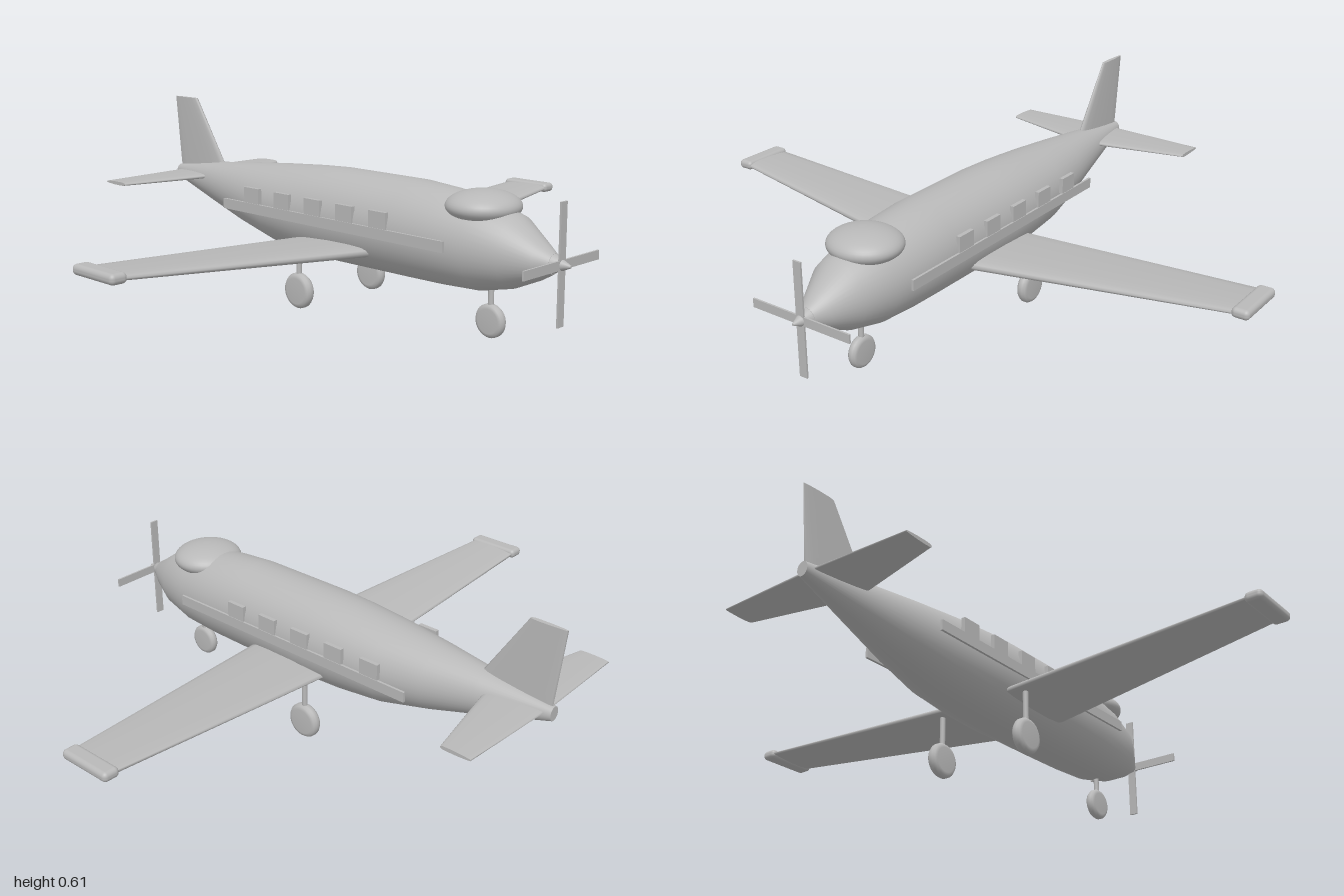
import * as THREE from 'three';
import { RoundedBoxGeometry } from 'three/addons/geometries/RoundedBoxGeometry.js';

const grey = new THREE.MeshStandardMaterial({ color: 0xb8b8b8 });
grey.name = 'paleGrey';

// Closed skin through rings of equal point count, with flat end caps.
function loft(rings) {
  const n = rings[0].length, pos = [], idx = [];
  rings.forEach(r => r.forEach(p => pos.push(...p)));
  for (let i = 0; i < rings.length - 1; i++) {
    for (let j = 0; j < n; j++) {
      const a = i * n + j, b = i * n + (j + 1) % n;
      idx.push(a, b, a + n, b, b + n, a + n);
    }
  }
  [rings[0], rings[rings.length - 1]].forEach((ring, end) => {
    const base = pos.length / 3;
    ring.forEach(p => pos.push(...p));
    pos.push(...[0, 1, 2].map(k => ring.reduce((s, p) => s + p[k], 0) / n));
    for (let j = 0; j < n; j++) {
      const a = base + j, b = base + (j + 1) % n;
      if (end) idx.push(base + n, a, b); else idx.push(base + n, b, a);
    }
  });
  // Turn the faces outward when the signed volume is negative.
  const v = i => new THREE.Vector3().fromArray(pos, idx[i] * 3);
  let volume = 0;
  for (let i = 0; i < idx.length; i += 3) volume += v(i).dot(v(i + 1).cross(v(i + 2)));
  if (volume < 0) idx.reverse();
  const g = new THREE.BufferGeometry();
  g.setAttribute('position', new THREE.Float32BufferAttribute(pos, 3));
  g.setIndex(idx);
  g.computeVertexNormals();
  return g;
}

// Aerofoil outline as [chord 0..1 from the nose, half thickness -1..1]
const foil = [[0, 0], [0.02, 0.5], [0.08, 0.85], [0.25, 1], [0.55, 0.95], [0.85, 0.65], [0.98, 0.4], [1, 0],
  [0.98, -0.4], [0.85, -0.65], [0.55, -0.95], [0.25, -1], [0.08, -0.85], [0.02, -0.5]];

// Wing from stations [x, y, front z, rear z, thickness]
const wingGeometry = (stations, side) => loft(stations.map(([x, y, f, r, t]) =>
  foil.map(([c, h]) => [x * side, y + h * t / 2, f + (r - f) * c])));

export function createModel() {
  const model = new THREE.Group();
  const add = (name, geometry, x = 0, y = 0, z = 0) => {
    const mesh = new THREE.Mesh(geometry, grey);
    mesh.name = name;
    mesh.position.set(x, y, z);
    model.add(mesh);
    return mesh;
  };

  // Fuselage stations: z, bottom, top, half width
  const body = [
    [0.82, 0.232, 0.292, 0.03], [0.78, 0.208, 0.32, 0.056], [0.69, 0.168, 0.384, 0.104],
    [0.58, 0.143, 0.416, 0.13], [0.45, 0.138, 0.434, 0.143], [0.32, 0.137, 0.444, 0.148],
    [0, 0.136, 0.444, 0.149], [-0.12, 0.142, 0.438, 0.147], [-0.28, 0.158, 0.426, 0.135],
    [-0.45, 0.198, 0.411, 0.105], [-0.62, 0.245, 0.394, 0.068], [-0.855, 0.315, 0.362, 0.02]];
  add('fuselage', loft(body.map(([z, lo, hi, w]) => Array.from({ length: 40 }, (_, i) => {
    const a = i / 40 * Math.PI * 2;
    return [Math.cos(a) * w, (lo + hi) / 2 + Math.sin(a) * (hi - lo) / 2, z];
  }))));

  // Cockpit canopy
  add('canopy', new THREE.SphereGeometry(1, 40, 24).scale(0.118, 0.05, 0.113), 0, 0.395, 0.565);

  // Spinner and four propeller blades
  add('spinner', new THREE.CylinderGeometry(0.004, 0.037, 0.075, 28).rotateX(Math.PI / 2), 0, 0.263, 0.838);
  add('propellerVertical', new THREE.BoxGeometry(0.028, 0.362, 0.006), 0, 0.264, 0.845);
  add('propellerHorizontal', new THREE.BoxGeometry(0.362, 0.028, 0.006), 0, 0.264, 0.845);

  // Wheel with rounded shoulders, axle along x
  const wheel = (r, w) => new THREE.LatheGeometry([
    [0, -w], [r * 0.72, -w], [r * 0.9, -w * 0.8], [r, -w * 0.35],
    [r, w * 0.35], [r * 0.9, w * 0.8], [r * 0.72, w], [0, w],
  ].map(p => new THREE.Vector2(...p)), 32).rotateZ(Math.PI / 2);
  const strut = h => new THREE.CylinderGeometry(0.009, 0.009, h, 14);

  for (const side of [1, -1]) {
    const s = side > 0 ? 'left' : 'right';
    // Main wing with rounded tip
    add(s + 'Wing', wingGeometry([[0.08, 0.212, 0.232, -0.088, 0.037], [0.15, 0.217, 0.222, -0.086, 0.036],
      [0.96, 0.268, 0.108, -0.07, 0.022]], side));
    add(s + 'WingTip', new RoundedBoxGeometry(0.056, 0.032, 0.19, 4, 0.014), side * 0.97, 0.268, 0.019);
    // Tailplane
    add(s + 'Tailplane', wingGeometry([[0, 0.343, -0.632, -0.835, 0.018], [0.355, 0.343, -0.718, -0.822, 0.012]], side));
    // Side stripe and cabin windows
    add(s + 'Stripe', new THREE.BoxGeometry(0.008, 0.034, 0.97), side * 0.15, 0.29, 0.053);
    for (const z of [0.278, 0.137, -0.004, -0.147, -0.292]) {
      add(s + 'Window', new THREE.BoxGeometry(0.014, 0.052, 0.07), side * 0.145, 0.333, z);
    }
    // Main landing gear
    add(s + 'MainStrut', strut(0.16), side * 0.168, 0.135, -0.045);
    add(s + 'MainWheel', wheel(0.058, 0.018), side * 0.168, 0.058, -0.045);
  }

  // Nose gear
  add('noseStrut', strut(0.13), 0, 0.115, 0.6);
  add('noseWheel', wheel(0.052, 0.016), 0, 0.053, 0.6);

  // Fin stations: y, front z, rear z, thickness
  const fin = [[0.35, -0.58, -0.848, 0.022], [0.395, -0.61, -0.853, 0.022], [0.612, -0.752, -0.875, 0.014]];
  add('fin', loft(fin.map(([y, f, r, t]) => foil.map(([c, h]) => [h * t / 2, y, f + (r - f) * c]))));

  return model;
}
